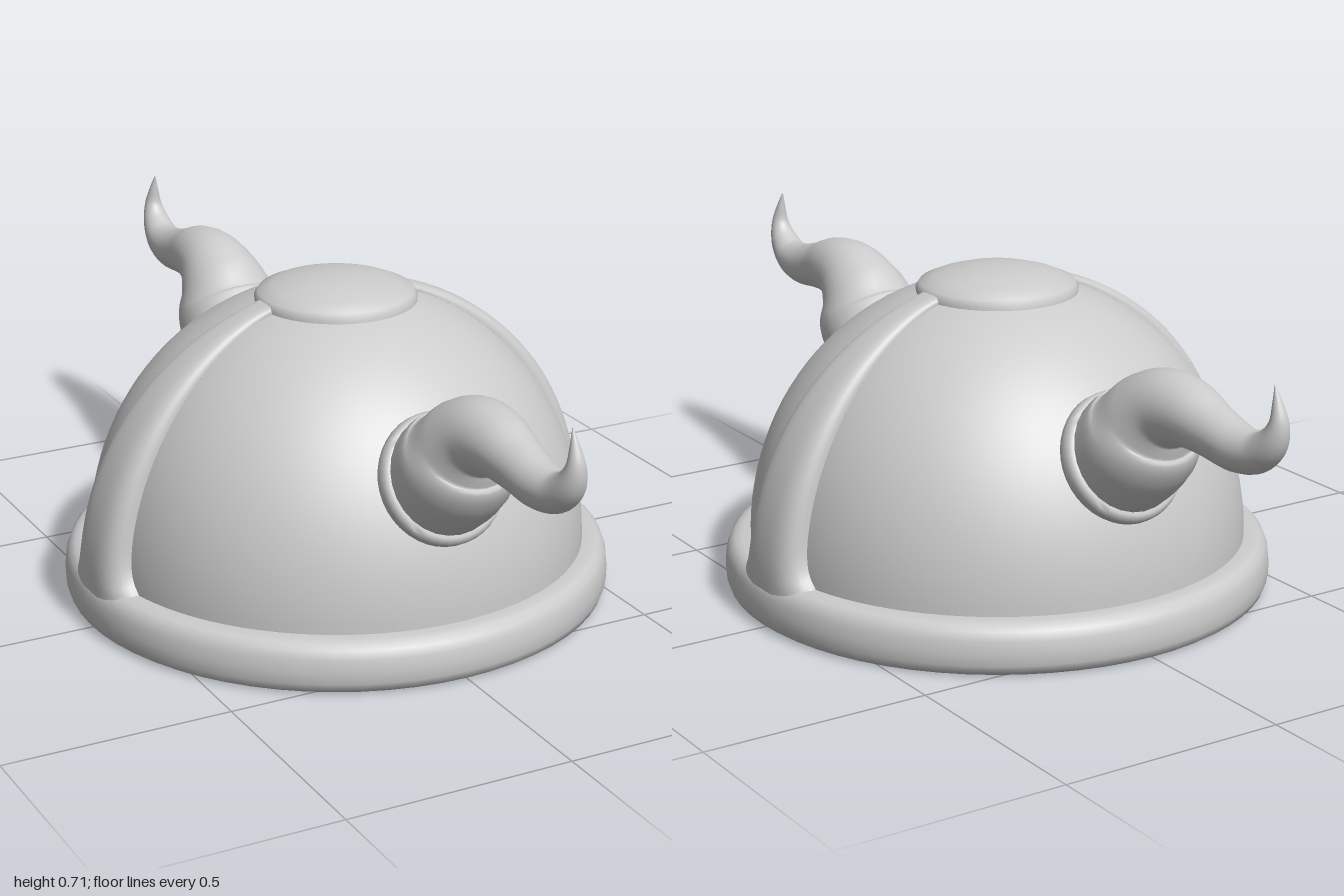
import * as THREE from 'three';
import { mergeVertices, toCreasedNormals } from 'three/addons/utils/BufferGeometryUtils.js';

const material = new THREE.MeshStandardMaterial({ color: 0xcccccc });
const shellMaterial = new THREE.MeshStandardMaterial({ color: 0xcccccc, side: THREE.DoubleSide });
const rad = THREE.MathUtils.degToRad;
const lerp = THREE.MathUtils.lerp;
const BAND_HALF = rad(9.4); // half of the sector each side band covers

function part(name, geometry, mat = material) {
  const mesh = new THREE.Mesh(geometry, mat);
  mesh.name = name;
  return mesh;
}

// Smooth surface from a rule fn(u, v) -> Vector3, u and v in 0..1
function surface(nu, nv, fn) {
  const positions = [];
  const index = [];
  for (let j = 0; j <= nv; j++) {
    for (let i = 0; i <= nu; i++) positions.push(...fn(i / nu, j / nv).toArray());
  }
  for (let j = 0; j < nv; j++) {
    for (let i = 0; i < nu; i++) {
      const a = j * (nu + 1) + i;
      const c = a + nu + 1;
      index.push(a, c, a + 1, a + 1, c, c + 1);
    }
  }
  const geometry = new THREE.BufferGeometry();
  geometry.setAttribute('position', new THREE.Float32BufferAttribute(positions, 3));
  geometry.setIndex(index);
  const merged = mergeVertices(geometry, 1e-5);
  merged.computeVertexNormals();
  return merged;
}

function lathe(points, segments, crease = rad(40)) {
  const profile = points.map(([r, y]) => new THREE.Vector2(r, y));
  return toCreasedNormals(new THREE.LatheGeometry(profile, segments), crease);
}

// Front or back dome shell, between the two side bands
function domePanel() {
  const profile = [];
  for (let i = 0; i <= 24; i++) {
    const t = lerp(-0.02, 1.27, i / 24);
    profile.push(new THREE.Vector2(0.55 * Math.cos(t), 0.11 + 0.58 * Math.sin(t)));
  }
  return new THREE.LatheGeometry(profile, 40, -Math.PI / 2 + BAND_HALF, Math.PI - 2 * BAND_HALF);
}

// Raised band from rim to crown on +x, flared at both ends
function sideBand() {
  const top = 1.31;
  return surface(20, 48, (u, v) => {
    const t = lerp(-0.02, top, v);
    const across = Math.sin((u - 0.5) * Math.PI);
    const lift = Math.sqrt(Math.max(0, 1 - across ** 4));
    const half = BAND_HALF + rad(4) * Math.exp(-Math.max(t, 0) / 0.05)
      + rad(9) * Math.exp(-(top - t) / 0.05);
    const r = lerp(0.55, 0.6, lift) * Math.cos(t);
    const y = lerp(0.11, 0.1, lift) + lerp(0.58, 0.6, lift) * Math.sin(t);
    const phi = across * half;
    return new THREE.Vector3(r * Math.cos(phi), y, r * Math.sin(phi));
  });
}

// Curved horn: each point is [radius, y, z] along the centre line
function hornSweep() {
  const path = new THREE.CatmullRomCurve3([
    [0.126, 0.400, 0.460], [0.127, 0.430, 0.500], [0.123, 0.474, 0.547],
    [0.102, 0.520, 0.580], [0.083, 0.553, 0.630], [0.070, 0.560, 0.700],
    [0.056, 0.546, 0.780], [0.049, 0.533, 0.860], [0.041, 0.541, 0.920],
    [0.032, 0.573, 0.961], [0.021, 0.612, 0.978], [0.010, 0.655, 0.972],
    [0.001, 0.688, 0.963],
  ].map((p) => new THREE.Vector3(...p)));
  return surface(28, 72, (u, v) => {
    const p = path.getPoint(v);
    const t = path.getTangent(v);
    t.x = 0;
    t.normalize();
    const a = u * Math.PI * 2;
    const c = p.x * Math.cos(a);
    return new THREE.Vector3(p.x * Math.sin(a), p.y + c * t.z, p.z - c * t.y);
  });
}

// Horn with its collar, closed on the inside of the helmet
function hornGroup(name) {
  const group = new THREE.Group();
  group.name = name;
  const collar = part('hornCollar', lathe([
    [0, -0.012], [0.126, -0.012], [0.137, -0.006], [0.142, 0.006],
    [0.142, 0.02], [0.138, 0.032], [0.13, 0.038], [0.118, 0.038],
  ], 40));
  collar.position.set(0, 0.4, 0.46);
  collar.rotation.x = Math.atan2(0.873, 0.487);
  group.add(collar, part('horn', hornSweep()));
  return group;
}

export function createModel() {
  const helmet = new THREE.Group();
  helmet.name = 'hornedHelmet';

  // Rounded rim around the opening
  helmet.add(part('rim', lathe([
    [0.54, 0.004], [0.552, 0], [0.588, 0], [0.6, 0.008], [0.606, 0.025], [0.607, 0.05],
    [0.604, 0.078], [0.597, 0.097], [0.585, 0.108], [0.57, 0.112],
    [0.54, 0.112], [0.54, 0.004],
  ], 64)));

  // Shallow crown cap
  helmet.add(part('crownCap', lathe([
    [0.176, 0.645], [0.178, 0.668], [0.17, 0.68], [0.14, 0.693],
    [0.1, 0.705], [0.05, 0.713], [0, 0.715],
  ], 48), shellMaterial));

  // Matching halves: panels and horns front and back, bands left and right
  const panel = domePanel();
  const band = sideBand();
  [['front', 'left', 0], ['back', 'right', Math.PI]].forEach(([end, side, turn]) => {
    const parts = [
      part(`${end}DomePanel`, panel, shellMaterial),
      part(`${side}Band`, band, shellMaterial),
      hornGroup(`${end}Horn`),
    ];
    parts.forEach((p) => { p.rotation.y = turn; });
    helmet.add(...parts);
  });
  return helmet;
}
